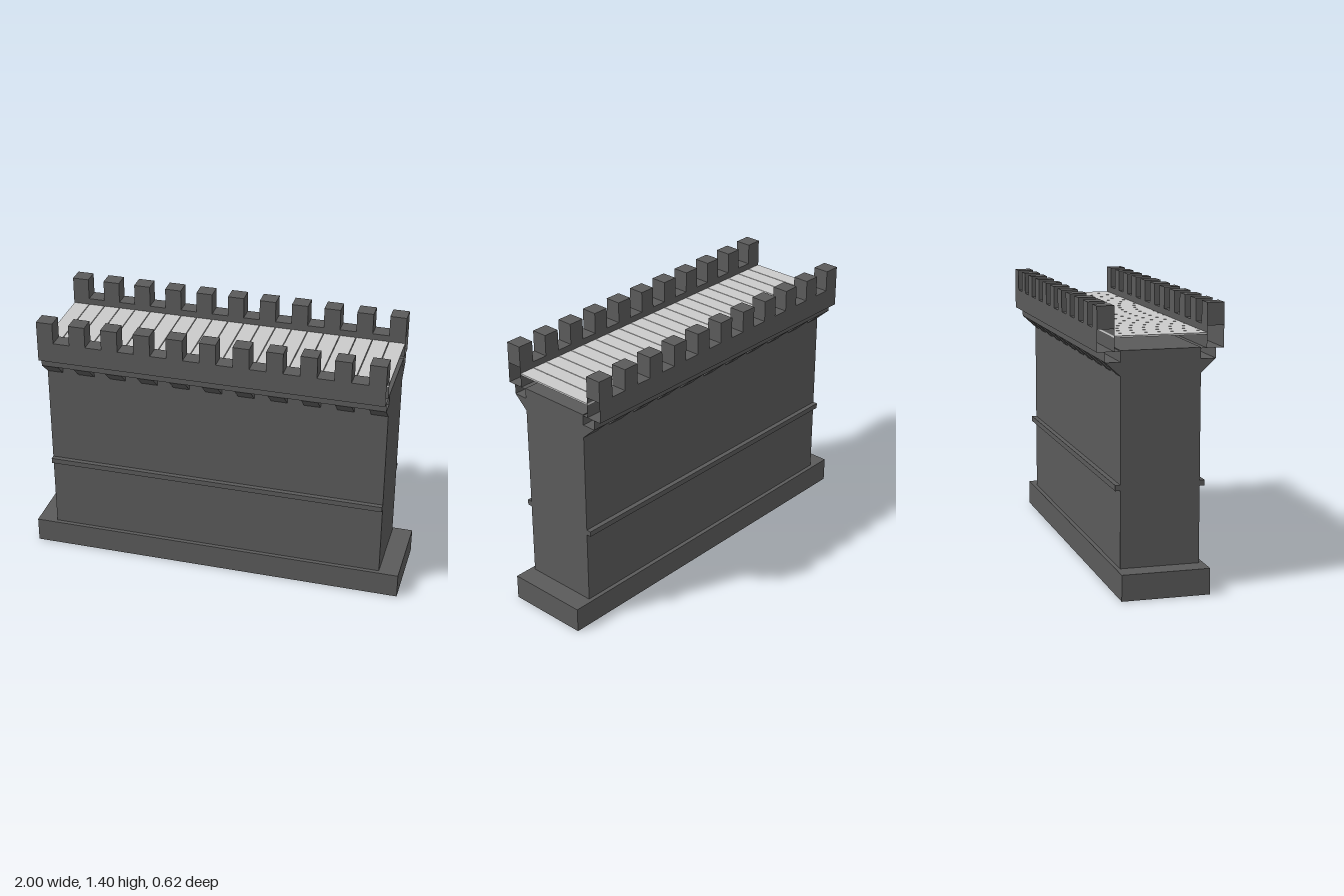
import * as THREE from 'three';

const LENGTH = 1.79;          // wall length along x
const BAYS = 21;              // alternating merlons and gaps
const BAY = LENGTH / BAYS;

export function createModel() {
  const model = new THREE.Group();
  model.name = 'battlementWall';
  const stone = new THREE.MeshStandardMaterial({ color: 0x5a5a5a, side: THREE.DoubleSide });
  stone.name = 'dark stone';
  const plankMat = new THREE.MeshStandardMaterial({ color: 0xcacaca });
  plankMat.name = 'pale planks';

  const add = (parent, name, geometry, material = stone) => {
    const mesh = new THREE.Mesh(geometry, material);
    mesh.name = name;
    parent.add(mesh);
    return mesh;
  };
  // Box given by its width, centre x, and y and z ranges
  const box = (w, x, y0, y1, z0, z1) =>
    new THREE.BoxGeometry(w, y1 - y0, z1 - z0).translate(x, (y0 + y1) / 2, (z0 + z1) / 2);
  // Long course without its two end faces
  const course = (y0, y1, z0, z1) => {
    const g = box(LENGTH, 0, y0, y1, z0, z1);
    g.setIndex(Array.from(g.index.array).slice(12));
    g.clearGroups();
    return g;
  };
  const bayX = (i) => (i - (BAYS - 1) / 2) * BAY;

  // Footing and main body
  add(model, 'footing', box(2, 0, 0, 0.13, -0.22, 0.22));
  add(model, 'wallBody', box(LENGTH, 0, 0.13, 1.185, -0.198, 0.198));

  // Walkway planks with narrow gaps
  const walkway = new THREE.Group();
  walkway.name = 'walkway';
  model.add(walkway);
  for (let i = 0; i < BAYS; i++) {
    add(walkway, 'plank', box(BAY - 0.004, bayX(i), 1.245, 1.254, -0.228, 0.228), plankMat);
  }

  // Triangular corbel, flat on top and sloping back to the wall
  const profile = new THREE.Shape([
    new THREE.Vector2(0.198, 1.062),
    new THREE.Vector2(0.272, 1.13),
    new THREE.Vector2(0.198, 1.13),
  ]);
  const corbel = new THREE.ExtrudeGeometry(profile, { depth: BAY, bevelEnabled: false })
    .rotateY(-Math.PI / 2)
    .translate(BAY / 2, 0, 0);

  // Both faces of the wall: band, corbels, ledge, parapet and merlons
  for (const name of ['frontSide', 'backSide']) {
    const side = new THREE.Group();
    side.name = name;
    side.rotation.y = name === 'backSide' ? Math.PI : 0;
    model.add(side);
    add(side, 'stringCourse', box(LENGTH, 0, 0.513, 0.541, 0.198, 0.223));
    add(side, 'ledge', course(1.13, 1.18, 0.198, 0.272));
    add(side, 'parapet', course(1.18, 1.287, 0.228, 0.312));
    for (let i = 0; i < BAYS; i += 2) {
      add(side, 'merlon', box(BAY, bayX(i), 1.287, 1.397, 0.228, 0.312));
      add(side, 'corbel', corbel).position.x = bayX(i);
    }
  }
  return model;
}
